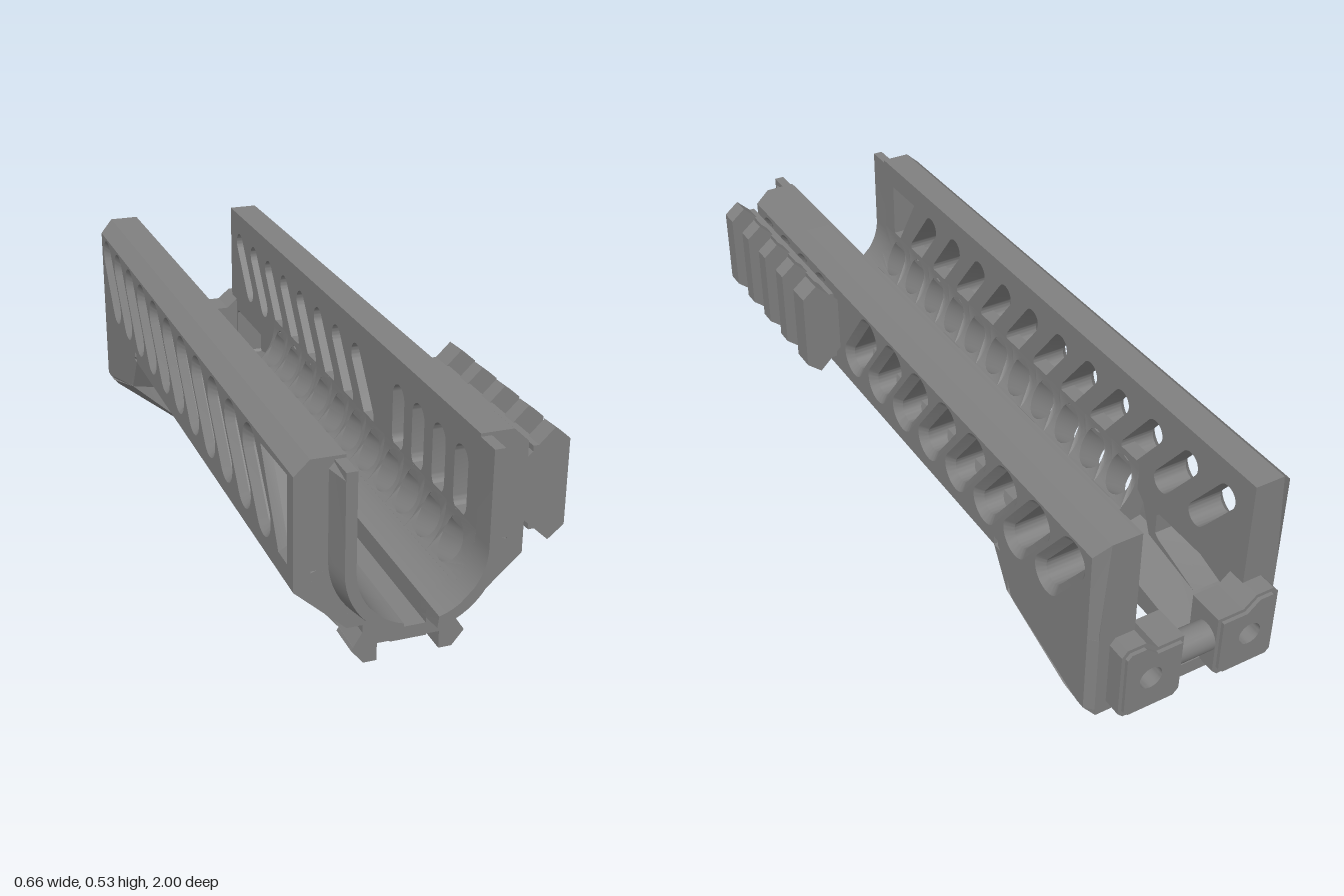
import * as THREE from 'three';
import { toCreasedNormals } from 'three/addons/utils/BufferGeometryUtils.js';
import { ConvexGeometry } from 'three/addons/geometries/ConvexGeometry.js';

const mat = new THREE.MeshStandardMaterial({ color: 0x808080 });
const FRONT = 0.93, REAR = -0.94, MID = -0.5;          // main stations along z
const R = 0.158, CY = 0.283, W = 0.278, BEVEL = 0.02;  // channel radius, its centre height, half width

const poly = pts => new THREE.Shape(pts.map(p => new THREE.Vector2(...p)));
const sides = fn => [1, -1].forEach(fn);
const vec = (pts, s) => pts.map(([x, y, z]) => new THREE.Vector3(s * x, y, z));

// extrude an xy profile between two z stations
function alongZ(shape, z0, z1) {
  const g = new THREE.ExtrudeGeometry(shape, { depth: z1 - z0, bevelEnabled: false, curveSegments: 16 });
  return g.translate(0, 0, z0);
}
// extrude a (-z, y) outline outward along x
function alongX(shape, x0, depth, bevel = 0) {
  const g = new THREE.ExtrudeGeometry(shape, {
    depth, curveSegments: 10, bevelEnabled: bevel > 0, bevelSegments: 1,
    bevelThickness: bevel, bevelSize: bevel, bevelOffset: -bevel,
  });
  return g.rotateY(Math.PI / 2).translate(x0, 0, 0);
}
function editVertices(g, fn) {
  const p = g.attributes.position, v = new THREE.Vector3();
  for (let i = 0; i < p.count; i++) {
    fn(v.fromBufferAttribute(p, i));
    p.setXYZ(i, v.x, v.y, v.z);
  }
  return g;
}
// chamfered outer layer of a side wall
const skin = (shape, rule) => editVertices(alongX(shape, W - BEVEL, 0.0001, BEVEL), rule);

// mirror a non-indexed geometry in x, keeping faces outward
function mirrored(g) {
  const m = g.clone(), p = m.attributes.position, a = g.attributes.position;
  for (let i = 0; i < p.count; i++) {
    const j = i - (i % 3) + [0, 2, 1][i % 3];
    p.setXYZ(i, -a.getX(j), a.getY(j), a.getZ(j));
  }
  return m;
}
// stadium-shaped hole between two points
function slot(ax, ay, bx, by, r) {
  const t = Math.atan2(by - ay, bx - ax), h = Math.PI / 2, path = new THREE.Path();
  path.absarc(bx, by, r, t - h, t + h, false);
  path.absarc(ax, ay, r, t + h, t + 3 * h, false);
  path.closePath();
  return path;
}
// points on an arc about the channel centre
function arc(r, t0, t1, n = 12) {
  return Array.from({ length: n + 1 }, (_, i) => {
    const t = t0 + (t1 - t0) * i / n;
    return [r * Math.cos(t), CY + r * Math.sin(t)];
  });
}

export function createModel() {
  const model = new THREE.Group();
  const body = new THREE.Group();
  body.name = 'handguard';
  body.position.x = -0.052;
  model.add(body);
  const add = (name, g) => {
    const flat = g.index ? g.toNonIndexed() : g;
    flat.computeVertexNormals();
    const m = new THREE.Mesh(toCreasedNormals(flat, 0.5), mat);
    m.name = name;
    body.add(m);
  };
  const addPair = (name, g) => {
    add(name, g);
    add(name, mirrored(g));
  };

  // side walls with slanted slots; the +x wall has upright ovals behind the rail
  const ovals = [0, 1, 2, 3].map(i => slot(-(0.84 - 0.122 * i), 0.327, -(0.84 - 0.122 * i), 0.43, 0.036));
  sides(s => {
    const holes = [];
    for (let k = s > 0 ? 0 : -3; k < 8; k++) {
      const a = -(0.233 - 0.1467 * k);
      holes.push(slot(a - 0.05, 0.307, a + 0.05, 0.437, 0.033));
    }
    if (s > 0) holes.push(...ovals);
    else holes.push(poly([[-0.87, 0.285], [-0.84, 0.285], [-0.73, 0.465], [-0.87, 0.465]]));
    const outline = y => {
      const sh = poly([[-FRONT, y], [-REAR, y], [-REAR, 0.533], [-FRONT, 0.533]]);
      sh.holes = holes;
      return sh;
    };
    const inner = editVertices(alongX(outline(0.262), R, W - BEVEL - R), v => {
      if (v.y > 0.53 && v.x > 0.2) v.x = 0.24;
    });
    // flat lower and front edges, wide top chamfer
    const outer = skin(outline(0.22), v => {
      if (v.z > 0.9) v.z = FRONT;
      if (v.y < 0.25) v.y = 0.24;
      if (v.y > 0.505) {
        if (v.x > 0.27) v.y = 0.497;
        else v.x = Math.min(v.x, 0.24);
      }
    });
    [inner, outer].forEach(g => add('sideWall', s > 0 ? g : mirrored(g)));
  });

  // shoulder between wall and slanted lower face
  addPair('shoulder', alongZ(poly([[0.2725, 0.21], [W, 0.215], [W, 0.243], [0.215, 0.265],
    [0.2, 0.3], [R, 0.3], [R, 0.296]]), MID, FRONT));

  // slanted lower faces with round vents bored into the channel
  const yLow = 0.12, yHigh = 0.21;
  for (let i = 0; i < 11; i++) {
    const zc = 0.835 - 0.127 * i;
    const a0 = i ? -(zc + 0.0635) : -FRONT, a1 = -(zc - 0.0635), pts = [];
    for (let j = 0; j <= 8; j++) pts.push([a1, yLow + (yHigh - yLow) * j / 8]);
    for (let j = 8; j >= 0; j--) pts.push([a0, yLow + (yHigh - yLow) * j / 8]);
    const sh = poly(pts);
    sh.holes.push(new THREE.Path().absellipse(-zc, 0.164, 0.047, 0.038, 0, Math.PI * 2, false, 0));
    addPair('ventPanel', editVertices(alongX(sh, 0, 1), v => {
      const inside = v.x < 0.5;
      v.x = W - (0.215 - v.y) * 1.1;
      if (!inside) return;
      const b = 0.8 * v.x + 0.6 * (CY - v.y);
      const c = v.x ** 2 + (v.y - CY) ** 2 - R * R;
      let d = b - Math.sqrt(Math.max(0, b * b - c));
      if (v.y + 0.6 * d > CY) d = (v.x - R) / 0.8;
      v.x -= 0.8 * d;
      v.y += 0.6 * d;
    }));
  }

  // curved channel floor with the dovetail neck of the lower rail
  const aSide = Math.atan2(0.168 - CY, 0.109), aGap = -Math.acos(0.043 / R);
  addPair('channelFloor', alongZ(poly([[0.043, 0.045], [0.135, 0.045], [0.113, 0.08], [0.113, 0.1],
    [0.1515, 0.1], [0.1735, 0.12], ...arc(R, aSide, aGap, 8)]), MID, FRONT));
  const strip = new THREE.BoxGeometry(0.09, 0.033, FRONT + 0.36);
  add('floorGroove', strip.translate(0, 0.0585, (FRONT - 0.36) / 2));

  // lower rail: two rows of teeth either side of a shallow groove
  const tooth = poly([[0.077, 0], [0.11, 0], [0.14, 0.037], [0.135, 0.046], [0.077, 0.046]]);
  for (let i = 0; i < 10; i++) {
    const top = i ? 0.763 - 0.126 * (i - 1) : FRONT;
    addPair('lowerRailTooth', alongZ(tooth, 0.838 - 0.126 * i, top));
  }
  addPair('lowerRailEnd', alongZ(poly([[0.05, 0], [0.11, 0], [0.14, 0.037], [0.135, 0.046], [0.05, 0.046]]), MID, -0.34));

  // front collar, split at the bottom, with a bevelled outer rim
  const collar = poly([[R, 0.525], ...arc(R, 0, aGap), ...arc(0.203, -Math.acos(0.043 / 0.203), 0),
    [0.203, 0.505], [0.185, 0.525]]);
  addPair('frontCollar', editVertices(alongZ(collar, 0.9, 1), v => {
    const r = v.y > CY ? v.x : Math.hypot(v.x, v.y - CY);
    if (v.z > 0.99 && r > 0.19) {
      const k = 0.185 / r;
      v.x *= k;
      if (v.y < CY) v.y = CY + (v.y - CY) * k;
    }
  }));

  // rear side plates with a tapering window
  const plate = poly([[0.5, 0.27], [0.94, 0.27], [0.94, 0.0], [0.89, 0.0], [0.57, 0.09], [0.53, 0.19], [0.5, 0.215]]);
  plate.holes.push(poly([[0.59, 0.13], [0.605, 0.118], [0.84, 0.044], [0.87, 0.042], [0.88, 0.052],
    [0.88, 0.19], [0.87, 0.2], [0.6, 0.2], [0.59, 0.19]]));
  addPair('rearSidePlate', editVertices(alongX(plate, R, W - BEVEL - R), v => { v.y = Math.max(v.y, 0.01); }));
  addPair('rearSidePlate', skin(plate, v => {
    v.y = v.y > 0.245 ? 0.248 : Math.max(v.y, 0.02);
  }));

  // gusset closing the vent face against the plate, and flared underside beside the long slot
  sides(s => {
    add('rearGusset', new ConvexGeometry(vec([
      [W, 0.215, -0.5], [0.1735, 0.12, -0.49], [0.2, 0.215, -0.5], [W, 0.11, -0.565],
      [W, 0.215, -0.57], [0.18, 0.2, -0.57], [0.18, 0.11, -0.57],
    ], s)));
    add('rearFlare', new ConvexGeometry(vec([
      [W, 0.02, -0.92], [0.258, 0.02, REAR], [W, 0.02, -0.89], [W, 0.11, -0.565], [0.255, 0, REAR],
      [0.26, 0, -0.86], [0.13, 0, -0.45], [0.1735, 0.12, -0.49], [0.05, 0, -0.42], [0.05, 0, REAR],
      [0.05, 0.09, -0.5], [0.05, 0.03, REAR], [0.25, 0.03, REAR],
    ], s)));
  });

  // rounded ends of the long slot
  [[0.34, 0.44, 1, 0.075], [0.94, 0.82, -1, 0.04]].forEach(([end, c, dir, h]) => {
    const pts = [[-0.052, end], [0.052, end], [0.052, c]];
    for (let i = 0; i <= 12; i++) {
      const t = Math.PI * i / 12;
      pts.push([0.05 * Math.cos(t), c - dir * 0.05 * Math.sin(t)]);
    }
    pts.push([-0.052, c]);
    const g = new THREE.ExtrudeGeometry(poly(pts), { depth: h, bevelEnabled: false });
    add('slotEnd', g.rotateX(-Math.PI / 2));
  });
  addPair('lowerRailStop', alongZ(poly([[0, 0], [0.08, 0], [0.08, 0.046], [0, 0.046]]), -0.38, -0.34));

  // rear clamp lugs with round recesses, joined by a cross bolt
  const lug = () => poly([[0.05, 0.035], [0.065, 0.02], [0.212, 0.02], [0.227, 0.035],
    [0.227, 0.22], [0.212, 0.237], [0.16, 0.237], [0.125, 0.207], [0.05, 0.207]]);
  const lugFace = poly([[0.06, 0.045], [0.075, 0.03], [0.205, 0.03], [0.217, 0.042],
    [0.217, 0.215], [0.205, 0.227], [0.165, 0.227], [0.13, 0.197], [0.06, 0.197]]);
  const lugBored = lug();
  [lugFace, lugBored].forEach(sh =>
    sh.holes.push(new THREE.Path().absarc(0.145, 0.125, 0.032, 0, Math.PI * 2, false)));
  addPair('clampLug', alongZ(lug(), -0.94, -0.89));
  addPair('clampLug', alongZ(lugBored, -0.99, -0.94));
  addPair('clampLugFace', alongZ(lugFace, -1, -0.99));
  const bolt = new THREE.CylinderGeometry(0.04, 0.04, 0.12, 24);
  add('clampBolt', bolt.rotateZ(Math.PI / 2).translate(0, 0.125, -0.95));

  // side rail: dovetail teeth on a base plate pierced by the ovals
  const railTooth = poly([[0.27, 0.305], [0.342, 0.237], [0.382, 0.27], [0.382, 0.488], [0.342, 0.52], [0.27, 0.45]]);
  [[0.878, 0.93], [0.756, 0.802], [0.634, 0.68], [0.512, 0.558], [0.37, 0.436]].forEach(([a, b]) =>
    add('sideRailTooth', alongZ(railTooth, a, b)));
  const base = poly([[-FRONT, 0.272], [-0.37, 0.272], [-0.37, 0.483], [-FRONT, 0.483]]);
  base.holes = ovals;
  add('sideRailBase', alongX(base, 0.29, 0.02));

  return model;
}
